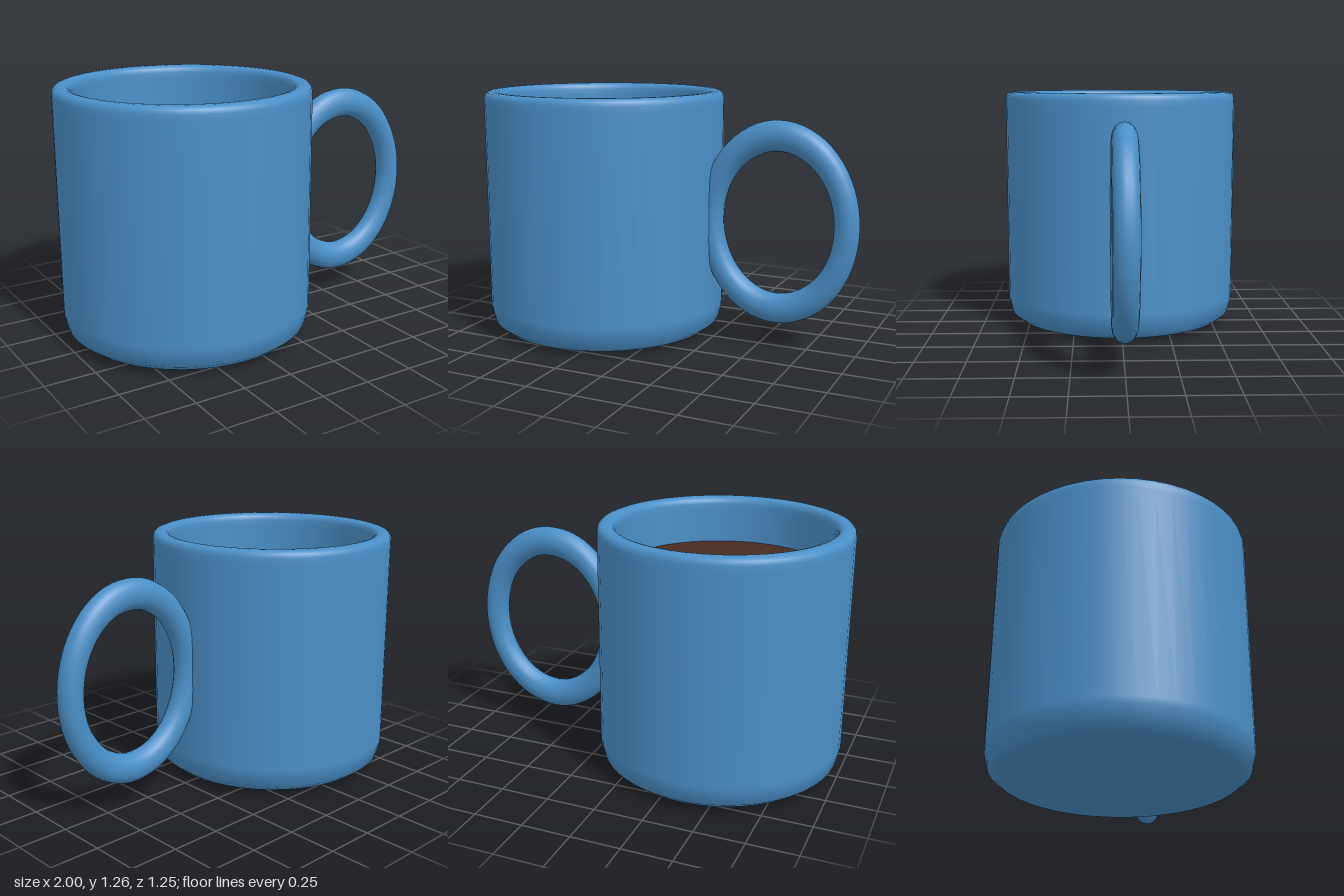
import * as THREE from 'three';

export function createModel() {
  const model = new THREE.Group();
  model.name = 'mug';

  const glaze = new THREE.MeshStandardMaterial({ color: 0x4a8fc7 });
  glaze.name = 'blue glaze';
  const coffeeBrown = new THREE.MeshStandardMaterial({ color: 0x482b21 });
  coffeeBrown.name = 'coffee brown';

  const add = (name, geometry, material, x, y) => {
    const mesh = new THREE.Mesh(geometry, material);
    mesh.name = name;
    mesh.position.set(x, y, 0);
    model.add(mesh);
    return mesh;
  };

  const cupX = -0.375;

  // Cup wall: slightly domed base, bevelled foot, rounded rim, inner wall and floor
  const profile = [
    [0, 0.004], [0.3, 0.01], [0.52, 0.02], [0.565, 0.027], [0.606, 0.06],
    [0.623, 0.13], [0.624, 0.16], [0.624, 1.2], [0.624, 1.23], [0.619, 1.249],
    [0.608, 1.26], [0.59, 1.265], [0.569, 1.265], [0.551, 1.26], [0.54, 1.249],
    [0.535, 1.23], [0.535, 1.2], [0.535, 0.16], [0.5, 0.1], [0, 0.1],
  ].map(([r, y]) => new THREE.Vector2(r, y));
  add('cup', new THREE.LatheGeometry(profile, 48), glaze, cupX, 0);

  // Coffee surface
  const coffee = add('coffee', new THREE.CircleGeometry(0.537, 48), coffeeBrown, cupX, 1.025);
  coffee.rotation.x = -Math.PI / 2;

  // Oval ring handle, sunk into the cup wall
  const ring = new THREE.TorusGeometry(0.35, 0.062, 16, 64);
  ring.scale(1, 1.24, 1);
  add('handle', ring, glaze, 0.586, 0.636);

  return model;
}
